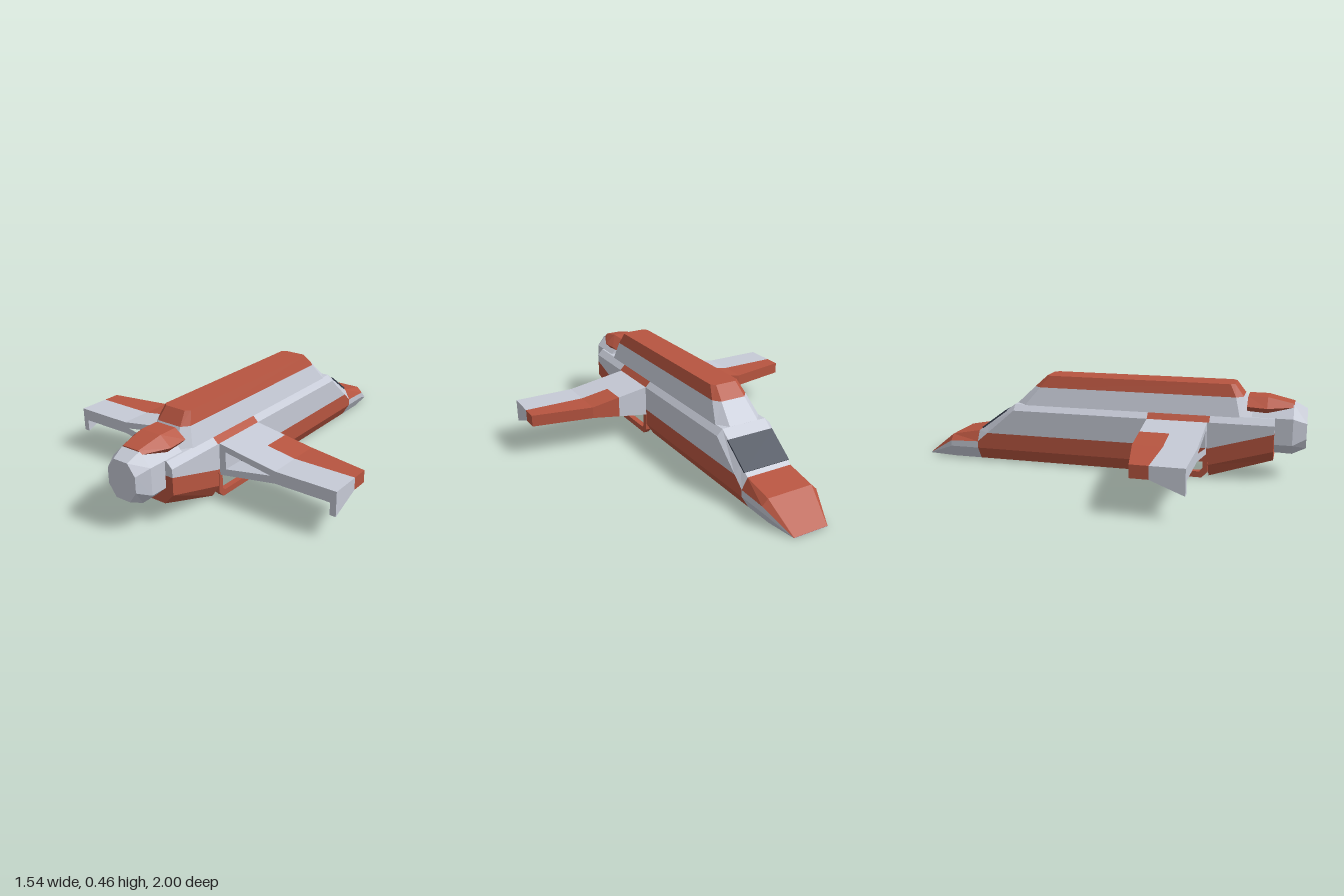
import * as THREE from 'three';

const material = (name, color) => {
  const m = new THREE.MeshStandardMaterial({ color });
  m.name = name;
  return m;
};

export function createModel() {
  const red = material('rust red', 0xb75540);
  const grey = material('pale grey', 0xc6cad6);
  const dark = material('dark glass', 0x394150);
  const model = new THREE.Group();
  model.name = 'shuttle';

  const addMesh = (name, geometry, mat, parent = model) => {
    const mesh = new THREE.Mesh(geometry, mat);
    mesh.name = name;
    parent.add(mesh);
    return mesh;
  };

  // Skins closed rings of points with flat faces. paint(strip, segment) picks
  // the material; strips count down each side from the top (-1 is the top).
  // Rings run clockwise as seen from outside the first ring.
  function loft(name, rings, paint, parent = model) {
    const buckets = new Map();
    const n = rings[0].length;
    const quad = (mat, a, b, c, d) => {
      if (!buckets.has(mat)) buckets.set(mat, []);
      buckets.get(mat).push(...a, ...b, ...c, ...a, ...c, ...d);
    };
    for (let s = 0; s < rings.length - 1; s++) {
      for (let i = 0; i < n; i++) {
        const j = (i + 1) % n;
        const strip = i < n / 2 ? i : n - 2 - i;
        quad(paint(strip, s), rings[s][i], rings[s][j], rings[s + 1][j], rings[s + 1][i]);
      }
    }
    // end caps, filled with cross strips
    const first = rings[0], last = rings[rings.length - 1];
    for (let i = 0; i < n / 2 - 1; i++) {
      const k = n - 1 - i;
      quad(paint(i, 0), first[i], first[k], first[k - 1], first[i + 1]);
      quad(paint(i, rings.length - 2), last[i], last[i + 1], last[k - 1], last[k]);
    }
    for (const [mat, positions] of buckets) {
      const g = new THREE.BufferGeometry();
      g.setAttribute('position', new THREE.Float32BufferAttribute(positions, 3));
      g.computeVertexNormals();
      addMesh(name, g, mat, parent);
    }
  }

  // Ring across z from the points of its +x half, top to bottom
  const section = (z, half) => [
    ...half.map(([x, y]) => [x, y, z]),
    ...half.slice().reverse().map(([x, y]) => [-x, y, z]),
  ];
  // Hull section: roof edge, shoulder, paint line, chine, keel edge
  const hull = (z, roof, shoulder, line, chine, keel, keelX = 0.11) =>
    section(z, [[0.12, roof], [0.15, shoulder], [0.15, line], [0.15, chine], [keelX, keel]]);
  const bodyPaint = (s) => (s >= 2 ? red : grey);

  // Hull
  loft('rearHull', [
    hull(0.85, 0.31, 0.28, 0.24, 0.155, 0.1, 0.1),
    hull(0.54, 0.31, 0.28, 0.15, 0.065, 0),
  ], bodyPaint);
  loft('midHull', [
    hull(0.54, 0.31, 0.28, 0.15, 0.135, 0.12),
    hull(0.23, 0.31, 0.28, 0.15, 0.135, 0.12),
  ], (s) => (s === 0 ? red : bodyPaint(s)));
  loft('mainHull', [
    hull(0.23, 0.31, 0.28, 0.15, 0.065, 0),
    hull(-0.48, 0.31, 0.28, 0.15, 0.065, 0),
    hull(-0.632, 0.198, 0.15, 0.15, 0.065, 0),
    hull(-0.69, 0.155, 0.1, 0.1, 0.065, 0),
  ], bodyPaint);

  // Nose
  loft('nose', [
    hull(-0.69, 0.155, 0.1, 0.1, 0.065, 0),
    hull(-0.845, 0.125, 0.095, 0.095, 0.065, 0),
    section(-1, [[0.09, 0.004], [0.092, 0.003], [0.092, 0.002], [0.092, 0.001], [0.09, 0]]),
  ], (s) => (s <= 0 ? red : grey));

  // Windshield plate lying on the cockpit slope
  const slope = Math.atan2(0.155, 0.21);
  const glass = addMesh('windshield', new THREE.BoxGeometry(0.25, 0.008, 0.174), dark);
  glass.position.set(0, 0.222, -0.6);
  glass.rotation.x = -slope;

  // Dorsal ridge: tapered, with clipped corners
  const ridge = (y, w, front, back, cutX, cutZ) => [
    [w - cutX, y, front], [w, y, front + cutZ], [w, y, back - cutZ], [w - cutX, y, back],
    [cutX - w, y, back], [-w, y, back - cutZ], [-w, y, front + cutZ], [cutX - w, y, front],
  ];
  loft('dorsalRidge', [
    ridge(0.46, 0.075, -0.32, 0.65, 0.02, 0.02),
    ridge(0.4, 0.095, -0.385, 0.695, 0.03, 0.035),
    ridge(0.3, 0.125, -0.49, 0.745, 0.045, 0.06),
  ], (s, seg) => (seg === 0 ? red : grey));

  // Engine
  const octagon = (z, a, w, top, upper, lower, bottom) =>
    section(z, [[a, top], [w, upper], [w, lower], [a, bottom]]);
  loft('engine', [
    octagon(1, 0.04, 0.08, 0.338, 0.285, 0.21, 0.155),
    octagon(0.935, 0.05, 0.11, 0.37, 0.31, 0.18, 0.125),
    octagon(0.74, 0.05, 0.11, 0.37, 0.31, 0.18, 0.13),
  ], () => grey);
  loft('engineCowl', [
    section(0.937, [[0.045, 0.374], [0.06, 0.358], [0.05, 0.345]]),
    section(0.81, [[0.055, 0.402], [0.112, 0.355], [0.085, 0.325]]),
    section(0.715, [[0.055, 0.402], [0.112, 0.36], [0.085, 0.335]]),
  ], () => red);

  // Wings and skids
  for (const side of [1, -1]) {
    const wing = new THREE.Group();
    wing.name = side > 0 ? 'leftWing' : 'rightWing';
    model.add(wing);

    // block between two x stations, each [x, zFront, zBack, yTop, yBottom]
    const block = (name, mat, outer, inner) => {
      const rings = [outer, inner].map(([x, zf, zb, top, bottom, frontBottom = bottom]) => {
        const r = [[x * side, top, zb], [x * side, top, zf],
          [x * side, frontBottom, zf], [x * side, bottom, zb]];
        return side > 0 ? r : r.reverse();
      });
      loft(name, rings, () => mat, wing);
    };
    const top = (x) => 0.28 - 0.05 * (x - 0.15) / 0.31;
    const bottom = (x) => 0.12 + 0.05 * (x - 0.15) / 0.31;
    const station = (x) => [x, 0.23, 0.375, top(x), bottom(x)];
    block('wingRootFront', grey, station(0.31), station(0.14));
    block('wingInnerFront', red, station(0.46), station(0.31));
    block('wingTipFront', red, [0.77, 0.29, 0.375, 0.23, 0.17], station(0.46));
    block('winglet', grey, [0.77, 0.38, 0.53, 0.172, 0.11, 0.168], [0.74, 0.38, 0.53, 0.172, 0.11, 0.168]);

    // rear wing half with a recessed triangular intake
    const points = (list) => list.map(([x, y]) => new THREE.Vector2(x * side, y));
    const rear = new THREE.Shape(points([
      [0.14, bottom(0.14)], [0.46, 0.17], [0.77, 0.17], [0.77, 0.23], [0.46, 0.23], [0.14, top(0.14)],
    ]));
    const intake = points([[0.185, 0.245], [0.185, 0.158], [0.435, 0.202]]);
    rear.holes.push(new THREE.Path(intake));
    const rearGeometry = new THREE.ExtrudeGeometry(rear, { depth: 0.155, bevelEnabled: false });
    addMesh('wingRear', rearGeometry.translate(0, 0, 0.375), grey, wing);
    const panel = new THREE.ShapeGeometry(new THREE.Shape(intake));
    addMesh('intakePanel', panel.translate(0, 0, 0.42), dark, wing);

    // skid: open frame below the wing root
    const frame = (list) => list.map(([z, y]) => new THREE.Vector2(-z, y));
    const skid = new THREE.Shape(frame([
      [0.54, 0.135], [0.54, 0.03], [0.51, 0], [0.26, 0], [0.23, 0.03], [0.23, 0.135],
    ]));
    skid.holes.push(new THREE.Path(frame([
      [0.515, 0.115], [0.515, 0.045], [0.5, 0.03], [0.275, 0.03], [0.26, 0.045], [0.26, 0.115],
    ])));
    const skidGeometry = new THREE.ExtrudeGeometry(skid, { depth: 0.03, bevelEnabled: false });
    skidGeometry.rotateY(Math.PI / 2).translate(side * 0.138 - 0.015, 0, 0);
    addMesh('skid', skidGeometry, red);
  }

  return model;
}
